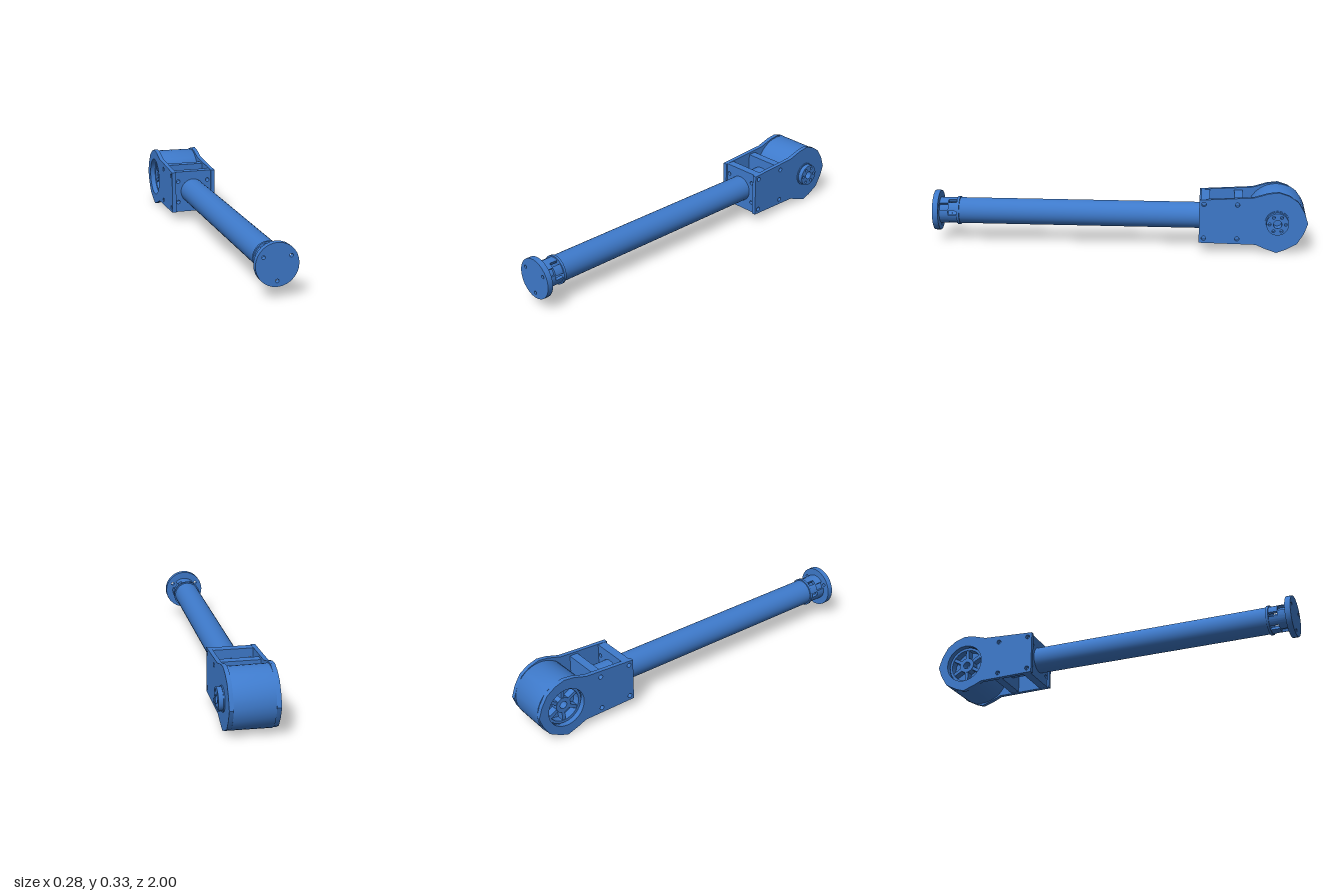
import * as THREE from 'three';
import { toCreasedNormals } from 'three/addons/utils/BufferGeometryUtils.js';

const CX = -0.016, CY = 0.167;   // tube axis
const HZ = -0.84;                // motor axis position along z
const TAU = Math.PI * 2;

export function createModel() {
  const group = new THREE.Group();
  const blue = new THREE.MeshStandardMaterial({ color: 0x3e7acb });
  blue.name = 'blue';

  const add = (name, geometry) => {
    const mesh = new THREE.Mesh(toCreasedNormals(geometry, 0.6), blue);
    mesh.name = name;
    group.add(mesh);
    return mesh;
  };
  const hole = (shape, x, y, r) => {
    shape.holes.push(new THREE.Path().absarc(x, y, r, 0, TAU, true));
    return shape;
  };
  const disc = (x, y, r) => new THREE.Shape().absarc(x, y, r, 0, TAU, false);
  const extrude = (shape, depth) =>
    new THREE.ExtrudeGeometry(shape, { depth, bevelEnabled: false, curveSegments: 14 });
  // Shape drawn in x, y and extruded between two z values
  const alongZ = (name, shape, z0, z1) => add(name, extrude(shape, z1 - z0).translate(0, 0, z0));
  // Shape drawn in (-z, y) and extruded between two x values
  const alongX = (name, shape, x0, x1) =>
    add(name, extrude(shape, x1 - x0).rotateY(Math.PI / 2).translate(x0, 0, 0));
  // Ring sector around the tube axis
  const sector = (r0, r1, a0, a1) => {
    const s = new THREE.Shape();
    s.absarc(CX, CY, r1, a0, a1, false);
    s.absarc(CX, CY, r0, a1, a0, true);
    s.closePath();
    return s;
  };

  // Long tube
  add('tube', new THREE.CylinderGeometry(0.07, 0.07, 1.485, 32)
    .rotateX(Math.PI / 2).translate(CX, CY, 0.1325));

  // End flange with three bolt holes
  const flange = disc(CX, CY, 0.108);
  for (let i = 0; i < 3; i++) {
    const a = Math.PI / 6 + i * TAU / 3;
    hole(flange, CX + 0.079 * Math.cos(a), CY + 0.079 * Math.sin(a), 0.009);
  }
  alongZ('endFlange', flange, 0.97, 1.0);

  // Collar: lip, six posts between slots, notched sleeve
  alongZ('collarLip', hole(disc(CX, CY, 0.077), CX, CY, 0.05), 0.862, 0.875);
  for (let i = 0; i < 6; i++) {
    const a = i * TAU / 6;
    alongZ('collarPost', sector(0.052, 0.07, a + 0.17, a + TAU / 6 - 0.17), 0.875, 0.922);
  }
  for (let i = 0; i < 3; i++) {
    const a = Math.PI / 6 + i * TAU / 3;
    alongZ('collarSleeve', sector(0.052, 0.07, a + 0.28, a + TAU / 3 - 0.28), 0.922, 0.97);
  }
  alongZ('collarLiner', hole(disc(CX, CY, 0.056), CX, CY, 0.05), 0.922, 0.97);

  // Fork side plates
  const outline = [
    [0.43, 0.05], [0.73, 0.045], [0.775, 0.025], [0.838, 0.003], [0.885, 0.02], [0.945, 0.053],
    [0.98, 0.11], [1, 0.165], [0.98, 0.225], [0.947, 0.28], [0.9, 0.312], [0.845, 0.33],
    [0.79, 0.323], [0.715, 0.3], [0.43, 0.283],
  ];
  const plate = () => {
    const s = new THREE.Shape(outline.map(([u, y]) => new THREE.Vector2(u, y)));
    for (const u of [0.455, 0.63]) for (const y of [0.075, 0.26]) hole(s, u, y, 0.012);
    return s;
  };
  alongX('forkPlateLeft', hole(plate(), -HZ, CY, 0.022), 0.088, 0.11);
  alongX('forkPlateRight', hole(plate(), -HZ, CY, 0.105), -0.14, -0.117);

  // Cross plates between the fork sides
  const cross = () => new THREE.Shape([[-0.117, 0.05], [0.088, 0.05], [0.088, 0.283], [-0.117, 0.283]]
    .map(([x, y]) => new THREE.Vector2(x, y)));
  const front = hole(cross(), CX, CY, 0.069);
  for (const sx of [-1, 1]) for (const sy of [-1, 1]) hole(front, CX + sx * 0.086, CY + sy * 0.06, 0.011);
  alongZ('frontCrossPlate', front, -0.485, -0.44);
  alongZ('rearCrossPlate', cross(), -0.66, -0.615);

  // Motor drum: hollow towards the open plate
  const profile = [[0, 0.088], [0.151, 0.088], [0.153, 0.083], [0.155, -0.117], [0.108, -0.117],
    [0.108, -0.07], [0, -0.07]].map(([r, x]) => new THREE.Vector2(r, -x));
  const drum = new THREE.LatheGeometry(profile, 40);
  drum.rotateZ(Math.PI / 2).translate(0, CY, HZ);
  add('motorDrum', drum);

  // Spoked rotor inside the opening
  alongX('rotorHub', hole(disc(-HZ, CY, 0.042), -HZ, CY, 0.02), -0.07, -0.112);
  alongX('rotorRim', hole(disc(-HZ, CY, 0.104), -HZ, CY, 0.09), -0.07, -0.112);
  for (let i = 0; i < 6; i++) {
    add('rotorSpoke', new THREE.BoxGeometry(0.038, 0.056, 0.018)
      .translate(-0.09, 0.066, 0).rotateX(i * TAU / 6).translate(0, CY, HZ));
  }

  // Output hub with bore and six bolt holes
  alongX('hubBase', hole(disc(-HZ, CY, 0.065), -HZ, CY, 0.022), 0.11, 0.116);
  const hub = hole(disc(-HZ, CY, 0.059), -HZ, CY, 0.022);
  for (let i = 0; i < 6; i++) {
    const a = i * TAU / 6;
    hole(hub, -HZ + 0.042 * Math.cos(a), CY + 0.042 * Math.sin(a), 0.008);
  }
  alongX('outputHub', hub, 0.116, 0.14);

  // Rotor rings are drawn towards -x, so turn their faces outward
  group.traverse((o) => {
    if (o.name === 'rotorHub' || o.name === 'rotorRim') {
      const p = o.geometry.attributes.position;
      for (let i = 0; i < p.count; i += 3) {
        const b = new THREE.Vector3().fromBufferAttribute(p, i + 1);
        const c = new THREE.Vector3().fromBufferAttribute(p, i + 2);
        p.setXYZ(i + 1, c.x, c.y, c.z);
        p.setXYZ(i + 2, b.x, b.y, b.z);
      }
      o.geometry.computeVertexNormals();
    }
  });
  return group;
}
